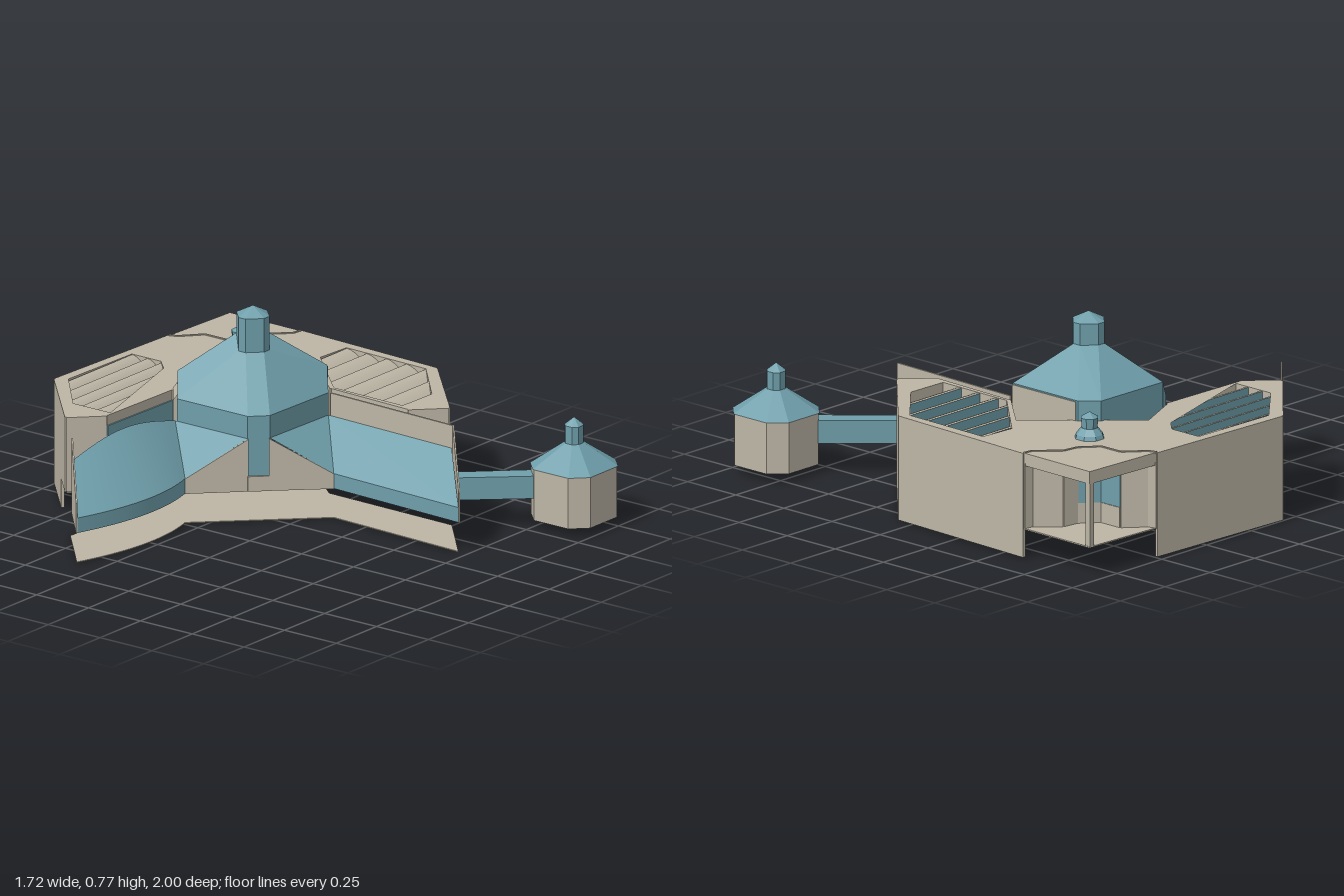
import * as THREE from 'three';

const material = (name, color) => {
  const m = new THREE.MeshStandardMaterial({ color, side: THREE.DoubleSide });
  m.name = name;
  return m;
};

export function createModel() {
  const group = new THREE.Group();
  const stone = material('warm stone', 0xbdb6a6);
  const blue = material('slate blue', 0x6f9fab);

  const add = (name, geometry, mat) => {
    const mesh = new THREE.Mesh(geometry, mat);
    mesh.name = name;
    group.add(mesh);
    return mesh;
  };

  // Flat slab from a plan outline of [x, z] points
  const slab = (name, outline, y0, y1, mat, holes = []) => {
    const plan = (pts) => pts.map(([x, z]) => new THREE.Vector2(x, -z));
    const shape = new THREE.Shape(plan(outline));
    holes.forEach((h) => shape.holes.push(new THREE.Path(plan(h))));
    const g = new THREE.ExtrudeGeometry(shape, { depth: y1 - y0, bevelEnabled: false });
    g.rotateX(-Math.PI / 2).translate(0, y0, 0);
    return add(name, g, mat);
  };

  // Upright wall between two plan points; the top may slope from ya to yb
  const wall = (name, [ax, az], [bx, bz], y0, ya, mat, yb = ya, thick = 0.012) => {
    const len = Math.hypot(bx - ax, bz - az);
    const shape = new THREE.Shape([
      new THREE.Vector2(0, y0), new THREE.Vector2(len, y0),
      new THREE.Vector2(len, yb), new THREE.Vector2(0, ya)]);
    const g = new THREE.ExtrudeGeometry(shape, { depth: thick, bevelEnabled: false });
    g.translate(0, 0, -thick / 2).rotateY(-Math.atan2(bz - az, bx - ax)).translate(ax, 0, az);
    return add(name, g, mat);
  };

  // Strips of quads between rows of [x, y, z] points
  const loft = (name, rows, mat, closed = false, flat = true) => {
    const n = rows[0].length;
    const index = [];
    for (let r = 0; r + 1 < rows.length; r++) {
      for (let i = 0; i < (closed ? n : n - 1); i++) {
        const a = r * n + i, b = r * n + (i + 1) % n;
        index.push(a, b, a + n, b, b + n, a + n);
      }
    }
    let g = new THREE.BufferGeometry();
    g.setAttribute('position', new THREE.Float32BufferAttribute(rows.flat(2), 3));
    g.setIndex(index);
    if (flat) g = g.toNonIndexed();
    g.computeVertexNormals();
    return add(name, g, mat);
  };

  // Square ring with cut corners, counter-clockwise seen from above
  const ring = (cx, cz, h, c, y) => [
    [h, h - c], [h, c - h], [h - c, -h], [c - h, -h],
    [-h, c - h], [-h, h - c], [c - h, h], [h - c, h],
  ].map(([x, z]) => [cx + x, y, cz + z]);

  // ---- Main block ----
  const outline = [[-0.5, -0.69], [-0.17, -1], [0.5, -0.972], [0.855, -0.955], [0.85, -0.61],
    [0.82, 0.065], [0.48, 0.39], [0.37, 0.28], [0.385, -0.1], [0.57, -0.3],
    [0.17, -0.72], [0, -0.57], [-0.39, -0.58]];
  const skylights = [
    { rows: 5, pts: [[-0.14, -0.96], [0.24, -0.95], [0.24, -0.81], [0.01, -0.575], [-0.355, -0.59], [-0.355, -0.77]] },
    { rows: 6, pts: [[0.65, -0.36], [0.8, -0.35], [0.79, 0.04], [0.57, 0.24], [0.395, 0.235], [0.4, -0.1]] },
  ];
  slab('roof', outline, 0.37, 0.42, stone, skylights.map((s) => s.pts));
  slab('floor', outline, 0.115, 0.12, stone);

  // Outer walls: full height, raised at the open wing tip
  const o = outline;
  const lowTip = [-0.39, -0.793];
  wall('wingTipWall', o[0], lowTip, 0.12, 0.42, stone);
  wall('diagonalWall', lowTip, o[1], 0.005, 0.42, stone);
  wall('backWall', o[1], o[2], 0.005, 0.42, stone);
  wall('sideWall', o[4], o[5], 0.005, 0.42, stone);
  wall('diagonalWall', o[5], o[6], 0.005, 0.42, stone);
  wall('wingEndWall', o[6], o[7], 0.12, 0.42, stone);
  wall('wingEndWall', o[12], o[0], 0.12, 0.42, stone);
  wall('innerGlass', o[7], o[8], 0.12, 0.38, blue);
  wall('innerGlass', o[11], o[12], 0.12, 0.38, blue);
  for (let i = 8; i < 11; i++) wall('courtWall', o[i], o[i + 1], 0.12, 0.42, stone);

  // Stepped wall behind the corner porch, with glazing, and its post
  const steps = [[0.5, -0.972], [0.51, -0.94], [0.59, -0.87], [0.59, -0.77],
    [0.66, -0.71], [0.73, -0.7], [0.81, -0.615], [0.85, -0.61]];
  for (let i = 0; i + 1 < steps.length; i++) {
    const glazed = i === 2 || i === 3;
    wall('porchWall', steps[i], steps[i + 1], 0.12, glazed ? 0.2 : 0.38, stone);
    if (glazed) {
      wall('porchWindow', steps[i], steps[i + 1], 0.2, 0.34, blue, 0.34, 0.006);
      wall('porchLintel', steps[i], steps[i + 1], 0.34, 0.38, stone);
    }
    // Raised seam on the roof above the steps
    wall('roofSeam', steps[i], steps[i + 1], 0.415, 0.424, stone, 0.424, 0.008);
  }
  const post = add('porchPost', new THREE.BoxGeometry(0.022, 0.26, 0.022), stone);
  post.position.set(0.842, 0.25, -0.944);

  // ---- Sawtooth skylights: curved shells with glass facing the back ----
  const span = (pts, z) => {
    const xs = [];
    pts.forEach(([ax, az], i) => {
      const [bx, bz] = pts[(i + 1) % pts.length];
      if (az !== bz && (z - az) * (z - bz) <= 0) xs.push(ax + (bx - ax) * (z - az) / (bz - az));
    });
    return [Math.min(...xs), Math.max(...xs)];
  };
  for (const { rows, pts } of skylights) {
    const zs = pts.map((p) => p[1]);
    const z0 = Math.min(...zs) + 0.012, z1 = Math.max(...zs) - 0.006;
    const step = (z1 - z0) / rows;
    for (let r = 0; r < rows; r++) {
      const back = z0 + r * step;
      const shell = [];
      for (let k = 0; k <= 5; k++) {
        const z = back + step * k / 5;
        const [xa, xb] = span(pts, z);
        const y = 0.368 + 0.05 * Math.cos(k / 5 * Math.PI / 2);
        shell.push([[xa, y, z], [xb, y, z]]);
      }
      loft('skylightShell', shell, stone, false, false);
      const [xa, xb] = span(pts, back);
      loft('skylightGlass', [[[xb, 0.368, back], [xa, 0.368, back]],
        [[xb, 0.418, back], [xa, 0.418, back]]], blue);
    }
  }

  // ---- Central hall ----
  const eave = [[0.41, -0.14, 0.5], [0.41, -0.48, 0.5], [0.35, -0.545, 0.5], [0.01, -0.55, 0.5],
    [-0.07, -0.49, 0.42], [-0.07, -0.15, 0.42], [-0.01, -0.09, 0.42], [0.34, -0.08, 0.42]];
  const at = (y) => eave.map(([x, z, top]) => [x, y ?? top, z]);
  const neck = ring(0.168, -0.31, 0.067, 0.05, 0.65);
  [4, 5, 6, 7].forEach((i) => { neck[i][1] = 0.6; });
  loft('hallWalls', [at(0.12), at()], blue, true);
  loft('hallRoof', [at(), neck], blue, true);
  loft('hallLantern', [neck, ring(0.168, -0.31, 0.067, 0.05, 0.735), ring(0.168, -0.31, 0.001, 0.0005, 0.77)], blue, true);
  wall('hallSidePanel', [0.411, -0.14], [0.411, -0.47], 0.12, 0.495, stone, 0.495, 0.006);

  // Skirt roofs and the beige gable walls below them
  const skirt = (a, b, c) => loft('skirtRoof', [[a, b], [a, c]], blue);
  skirt([-0.24, 0.18, -0.32], [-0.07, 0.33, -0.15], [-0.07, 0.33, -0.5]);
  skirt([0.155, 0.18, 0.09], [0.34, 0.33, -0.08], [-0.01, 0.33, -0.09]);
  wall('entranceGable', [-0.24, -0.32], [-0.07, -0.147], 0.12, 0.18, stone, 0.33, 0.008);
  wall('entranceGable', [0.155, 0.09], [-0.015, -0.09], 0.12, 0.18, stone, 0.33, 0.008);
  wall('entranceSill', [-0.072, -0.149], [-0.012, -0.088], 0.12, 0.18, stone);

  // ---- Veranda wings ----
  const curve = new THREE.QuadraticBezierCurve(
    new THREE.Vector2(-0.86, -0.36), new THREE.Vector2(-0.52, -0.235), new THREE.Vector2(-0.24, -0.32));
  const front = curve.getPoints(20).map((p) => [p.x, p.y]);
  const ridge = front.map((p, i) => [-0.68 + 0.61 * i / 20, 0.33 + 0.05 * Math.sin(Math.PI * i / 20), -0.52 + 0.02 * i / 20]);
  const lift = (pts, y) => pts.map(([x, z]) => [x, y, z]);
  loft('curvedWingRoof', [lift(front, 0.18), ridge], blue, false, false);
  loft('curvedWingFascia', [lift(front, 0.12), lift(front, 0.18)], blue, false, false);
  wall('curvedWingEnd', [-0.86, -0.36], [-0.68, -0.522], 0.12, 0.24, stone, 0.42, 0.006);

  const edge = [[0.155, 0.09], [0.13, 0.71]];
  loft('straightWingRoof', [lift(edge, 0.18), [[0.34, 0.33, -0.08], [0.32, 0.33, 0.53]]], blue);
  loft('straightWingFascia', [lift(edge, 0.12), lift(edge, 0.18)], blue);
  wall('straightWingEnd', [0.13, 0.715], [0.325, 0.535], 0.12, 0.24, stone, 0.42, 0.006);
  wall('straightWingBack', [0.327, 0.535], [0.345, -0.07], 0.12, 0.42, stone, 0.42, 0.008);

  // Thin terrace on the ground beneath the wings
  slab('terrace', [...front, [0.155, 0.09], [0.13, 0.71], [0.36, 0.5], [0.37, -0.1], [0.54, -0.3],
    [0.25, -0.63], [0.1, -0.55], [0, -0.54], [-0.63, -0.57]], 0, 0.004, stone);

  // ---- Detached pavilion and its bridge ----
  const px = 0.665, pz = 0.852;
  const pavilion = (h, c, y) => ring(px, pz, h, c, y);
  loft('pavilionWalls', [pavilion(0.143, 0.06, 0.035), pavilion(0.143, 0.06, 0.24)], stone, true);
  loft('pavilionFloor', [pavilion(0.001, 0.0005, 0.035), pavilion(0.143, 0.06, 0.035)], stone, true);
  loft('pavilionRoof', [pavilion(0.146, 0.06, 0.24), pavilion(0.034, 0.018, 0.33),
    pavilion(0.034, 0.018, 0.4), pavilion(0.001, 0.0005, 0.43)], blue, true);
  slab('bridge', [[0.32, 0.53], [0.375, 0.485], [0.585, 0.71], [0.53, 0.765]], 0.12, 0.21, blue);

  // ---- Small roof vent ----
  const vent = (h, y) => ring(0.53, -0.652, h, h * 0.6, y);
  loft('roofVent', [vent(0.055, 0.42), vent(0.05, 0.435), vent(0.03, 0.46),
    vent(0.033, 0.5), vent(0.001, 0.522)], blue, true);

  return group;
}
